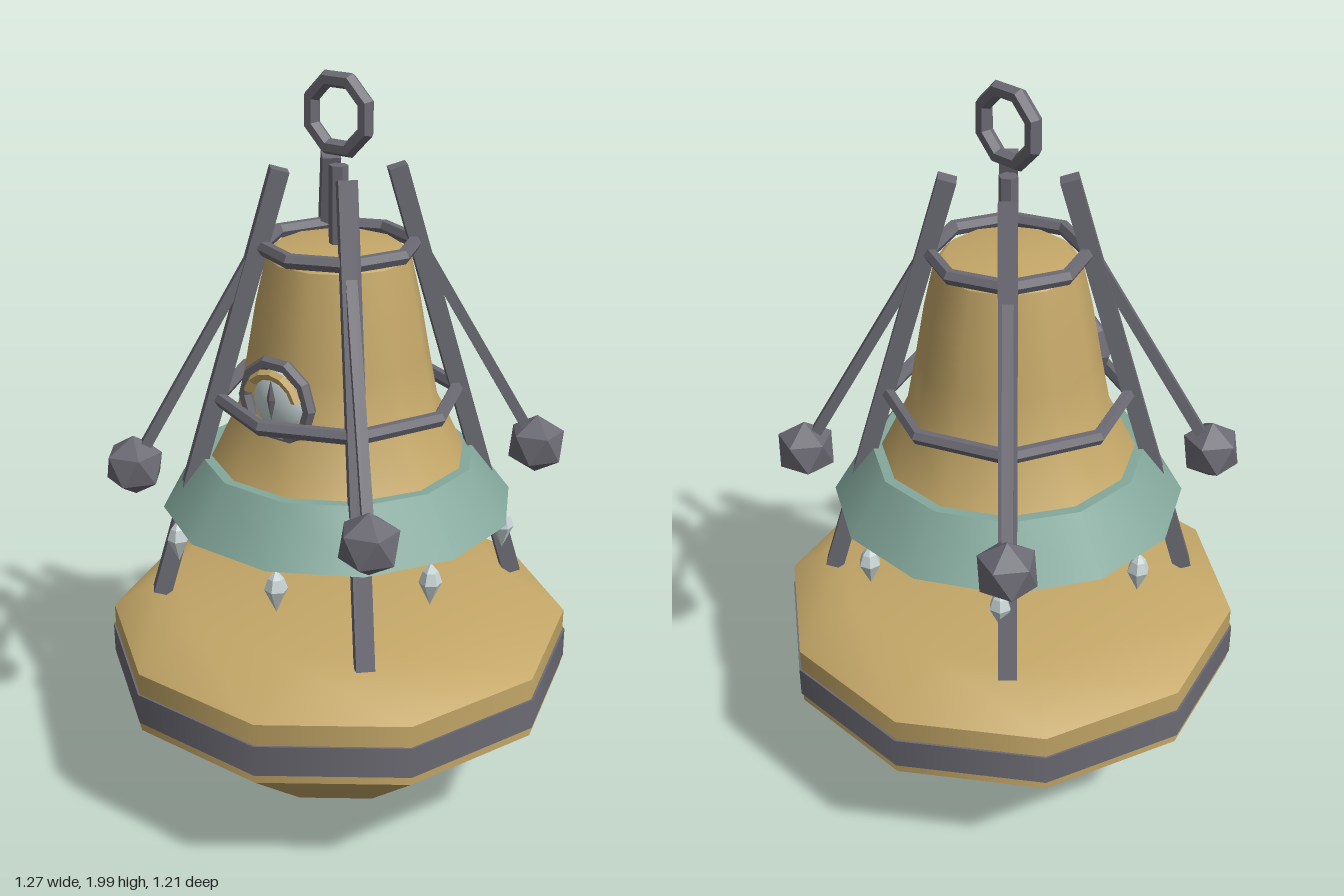
import * as THREE from 'three';

export function createModel() {
  const model = new THREE.Group();
  const material = (name, color) => {
    const m = new THREE.MeshStandardMaterial({ color });
    m.name = name;
    return m;
  };
  const brass = material('brass', 0xc4a768);
  const iron = material('iron', 0x6c6b74);
  const teal = material('teal', 0x84a89c);
  teal.side = THREE.DoubleSide;
  const glass = material('pale glass', 0xc8d4d4);

  const add = (name, geometry, mat, x = 0, y = 0, z = 0, parent = model) => {
    const mesh = new THREE.Mesh(geometry, mat);
    mesh.name = name;
    mesh.position.set(x, y, z);
    parent.add(mesh);
    return mesh;
  };
  // Faceted copy of a geometry
  const facet = (g) => {
    const f = g.index ? g.toNonIndexed() : g;
    f.computeVertexNormals();
    return f;
  };
  // Turned profile; a repeated point makes a sharp edge
  const turned = (points, sides) => new THREE.LatheGeometry(
    points.map(([r, y]) => new THREE.Vector2(r, y)), sides, Math.PI / sides);
  // Square bar between two points
  const bar = (name, a, b, width) => {
    const dir = b.clone().sub(a);
    const g = new THREE.BoxGeometry(width, dir.length(), width).rotateY(Math.PI / 4);
    const mesh = add(name, g, iron);
    mesh.position.copy(a).add(b).multiplyScalar(0.5);
    mesh.quaternion.setFromUnitVectors(new THREE.Vector3(0, 1, 0), dir.normalize());
  };

  // Hull with a pointed base, and the band around it
  add('hull', turned([[0, 0.005], [0.32, 0.09], [0.63, 0.345], [0.63, 0.345],
    [0.63, 0.515], [0.63, 0.515], [0.47, 0.622], [0, 0.625]], 10), brass);
  add('hullBand', turned([[0.62, 0.37], [0.636, 0.37], [0.636, 0.37],
    [0.636, 0.455], [0.636, 0.455], [0.62, 0.455]], 10), iron);

  // Bell and its flared skirt
  add('bell', turned([[0, 0.855], [0.435, 0.855], [0.435, 0.855], [0.34, 1.0],
    [0.265, 1.15], [0.24, 1.28], [0.215, 1.42], [0.187, 1.54], [0.187, 1.54],
    [0.16, 1.565], [0, 1.57]], 12), brass);
  add('skirt', turned([[0.44, 0.847], [0.473, 0.858], [0.473, 0.858],
    [0.367, 1.0], [0.367, 1.0], [0.335, 1.0]], 12), teal);

  // Hanging drops, evenly spaced under the skirt
  const drop = facet(turned([[0, -0.06], [0.03, 0.005], [0.02, 0.035], [0, 0.058]], 6));
  for (let i = 0; i < 7; i++) {
    const a = THREE.MathUtils.degToRad(73) + i * Math.PI * 2 / 7;
    add('drop', drop, glass, 0.447 * Math.cos(a), 0.795, 0.447 * Math.sin(a)).rotation.y = -a;
  }

  // Horizontal frame rings
  for (const [r, y] of [[0.2, 1.568], [0.32, 1.165]]) {
    add('frameRing', facet(new THREE.TorusGeometry(r, 0.02, 6, 8).rotateX(Math.PI / 2)), iron, 0, y);
  }

  // Four legs, each with an outrigger rod and a faceted weight
  const weight = facet(new THREE.IcosahedronGeometry(0.083, 0)
    .rotateZ(Math.atan(2 / (1 + Math.sqrt(5)))));
  for (const sx of [-1, 1]) {
    for (const sz of [-1, 1]) {
      const at = (d, y) => new THREE.Vector3(sx * d, y, sz * d);
      bar('leg', at(0.345, 0.605), at(0.105, 1.765), 0.048);
      bar('rod', at(0.385, 0.985), at(0.13, 1.61), 0.028);
      add('weight', weight, iron, sx * 0.385, 0.985, sz * 0.385);
    }
  }

  // Top post and lifting ring
  add('topPost', facet(new THREE.CylinderGeometry(0.025, 0.025, 0.21, 6)), iron, 0, 1.665, 0);
  add('liftingRing', facet(new THREE.TorusGeometry(0.09, 0.022, 6, 8).rotateZ(Math.PI / 8)),
    iron, 0, 1.8965, 0);

  // Round eye on the front
  const eye = new THREE.Group();
  eye.name = 'eye';
  eye.position.set(0, 1.215, 0.255);
  model.add(eye);
  add('eyeRing', facet(new THREE.TorusGeometry(0.104, 0.018, 6, 10)), iron, 0, 0, 0, eye);
  add('eyeBall', new THREE.SphereGeometry(0.084, 10, 8).scale(1, 1, 0.4), glass, 0, 0, -0.012, eye);
  add('eyeLid', facet(new THREE.TorusGeometry(0.082, 0.014, 5, 6, Math.PI * 0.8)
    .rotateZ(Math.PI * 0.1)), brass, 0, -0.005, 0.018, eye);
  add('pupil', facet(new THREE.OctahedronGeometry(1).scale(0.014, 0.055, 0.008)),
    iron, 0, 0.012, 0.023, eye);

  return model;
}
